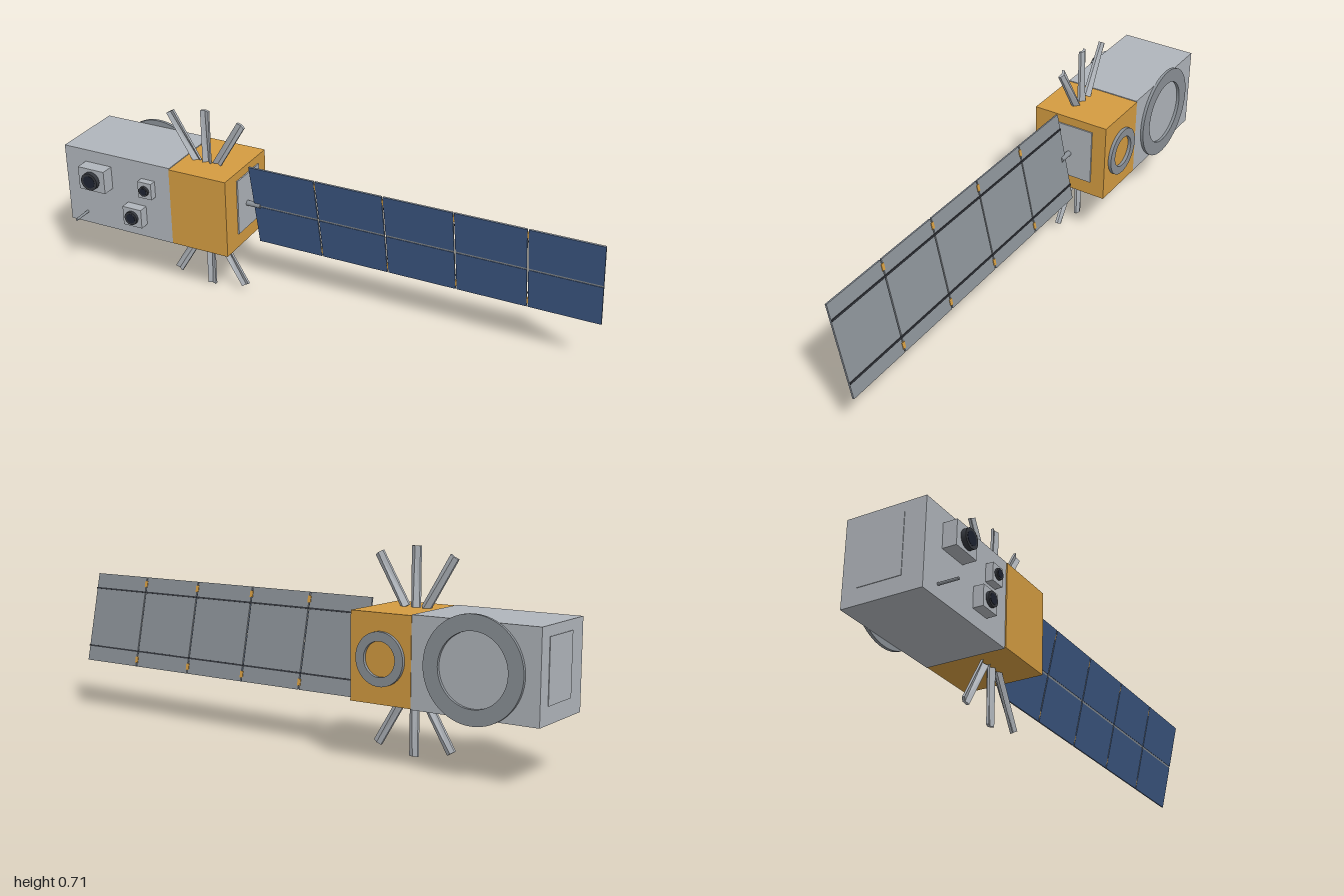
import * as THREE from 'three';

const mat = (name, color) => {
  const m = new THREE.MeshStandardMaterial({ color });
  m.name = name;
  return m;
};

export function createModel() {
  const silver = mat('silver', 0xb0b5bb);
  const gold = mat('gold foil', 0xd49c41);
  const grey = mat('mid grey', 0x8b9197);
  const blue = mat('solar blue', 0x3f5b88);
  const dark = mat('dark housing', 0x34373d);
  const glass = mat('lens glass', 0x1d2230);

  const model = new THREE.Group();
  model.name = 'satellite';

  const add = (parent, name, geometry, material, x = 0, y = 0, z = 0) => {
    const mesh = new THREE.Mesh(geometry, material);
    mesh.name = name;
    mesh.position.set(x, y, z);
    parent.add(mesh);
    return mesh;
  };
  // Box given by its limits on each axis
  const box = (parent, name, material, x0, x1, y0, y1, z0, z1) =>
    add(parent, name, new THREE.BoxGeometry(x1 - x0, y1 - y0, z1 - z0), material,
      (x0 + x1) / 2, (y0 + y1) / 2, (z0 + z1) / 2);
  // Cylinder along z between two depths
  const drum = (parent, name, material, r, x, y, z0, z1, sides = 24) =>
    add(parent, name, new THREE.CylinderGeometry(r, r, z1 - z0, sides).rotateX(Math.PI / 2),
      material, x, y, (z0 + z1) / 2);

  // Two body modules and their end plates
  box(model, 'instrumentModule', silver, -0.998, -0.55, 0.202, 0.508, -0.173, 0.116);
  box(model, 'serviceModule', gold, -0.55, -0.32, 0.205, 0.505, -0.175, 0.12);
  box(model, 'innerEndPlate', silver, -0.32, -0.315, 0.26, 0.473, -0.12, 0.04);
  box(model, 'outerEndPlate', silver, -1.0, -0.998, 0.26, 0.473, -0.12, 0.04);

  // Docking rings on the back
  const ring = (name, x, outer, inner, z0, z1) => {
    const shape = new THREE.Shape().absarc(0, 0, outer, 0, Math.PI * 2);
    shape.holes.push(new THREE.Path().absarc(0, 0, inner, 0, Math.PI * 2, true));
    add(model, name, new THREE.ExtrudeGeometry(shape,
      { depth: z1 - z0, bevelEnabled: false, curveSegments: 32 }), grey, x, 0.355, z0);
  };
  ring('largeRing', -0.773, 0.175, 0.122, -0.184, -0.173);
  ring('smallRing', -0.437, 0.09, 0.059, -0.187, -0.175);

  // Cameras: x, y, half width, half height, box front, lens radius, lens front
  [
    [-0.855, 0.416, 0.055, 0.044, 0.166, 0.034, 0.183],
    [-0.643, 0.41, 0.028, 0.032, 0.143, 0.019, 0.152],
    [-0.698, 0.293, 0.039, 0.037, 0.153, 0.026, 0.164],
  ].forEach(([x, y, w, h, zBox, r, zLens], i) => {
    const camera = new THREE.Group();
    camera.name = `camera${i + 1}`;
    model.add(camera);
    box(camera, 'cameraHousing', silver, x - w, x + w, y - h, y + h, 0.116, zBox);
    drum(camera, 'lensBarrel', dark, r, x, y, zBox, zLens);
    drum(camera, 'lensGlass', glass, r * 0.7, x, y, zLens, zLens + 0.001);
  });
  drum(model, 'sensorRod', grey, 0.005, -0.923, 0.247, 0.116, 0.188, 12);

  // Folded blade antennas, three above and three below
  const section = new THREE.Shape([
    [-0.016, 0.005], [0, -0.01], [0.016, 0.005], [0.016, 0.015], [0, 0], [-0.016, 0.015],
  ].map(([u, z]) => new THREE.Vector2(u, -z)));
  const bladeLength = 0.205;
  const blade = new THREE.ExtrudeGeometry(section, { depth: bladeLength, bevelEnabled: false });
  blade.rotateX(-Math.PI / 2);
  // The fold flattens out towards the tip
  const p = blade.attributes.position;
  for (let i = 0; i < p.count; i++) {
    if (Math.abs(p.getX(i)) < 0.001) p.setZ(i, p.getZ(i) + 0.009 * p.getY(i) / bladeLength);
  }
  blade.computeVertexNormals();
  for (const end of [1, -1]) {
    const cluster = new THREE.Group();
    cluster.name = end > 0 ? 'upperAntennas' : 'lowerAntennas';
    model.add(cluster);
    for (const side of [-1, 0, 1]) {
      const mesh = add(cluster, 'antennaBlade', blade, silver,
        -0.455 + side * 0.038, 0.354 + end * 0.149, 0);
      mesh.rotation.z = -side * end * 0.54;
      mesh.scale.y = end;
      if (end < 0) mesh.rotation.z = side * 0.54;
    }
  }

  // Tilted solar wing on its boom
  const wing = new THREE.Group();
  wing.name = 'solarWing';
  wing.position.set(0, 0.3565, -0.027);
  wing.rotation.x = 0.213;
  model.add(wing);
  add(wing, 'boom', new THREE.CylinderGeometry(0.01, 0.01, 0.06, 16).rotateZ(Math.PI / 2),
    grey, -0.29, 0, 0);

  const start = -0.285, pitch = 0.257, gap = 0.005, half = 0.172;
  for (let i = 0; i < 5; i++) {
    const x0 = start + i * pitch + (i ? gap / 2 : 0);
    const x1 = start + (i + 1) * pitch - (i < 4 ? gap / 2 : 0);
    box(wing, 'panelBacking', grey, x0, x1, -half, half, -0.003, 0.002);
    for (const s of [-1, 1]) {
      // Blue cells above and below the centre strip
      const [y0, y1] = s > 0 ? [0.004, half] : [-half, -0.004];
      box(wing, 'solarCells', blue, x0, x1, y0, y1, 0.002, 0.0035);
      // Gold hinges across each joint
      if (i < 4) {
        box(wing, 'hinge', gold, x1 - 0.004, x1 + gap + 0.004,
          s * 0.146 - 0.012, s * 0.146 + 0.012, -0.005, 0.003);
      }
    }
  }
  // Long rails on the back of the wing
  for (const s of [-1, 1]) {
    box(wing, 'backRail', dark, start, 1, s * 0.114 - 0.003, s * 0.114 + 0.003, -0.007, -0.003);
  }
  return model;
}
